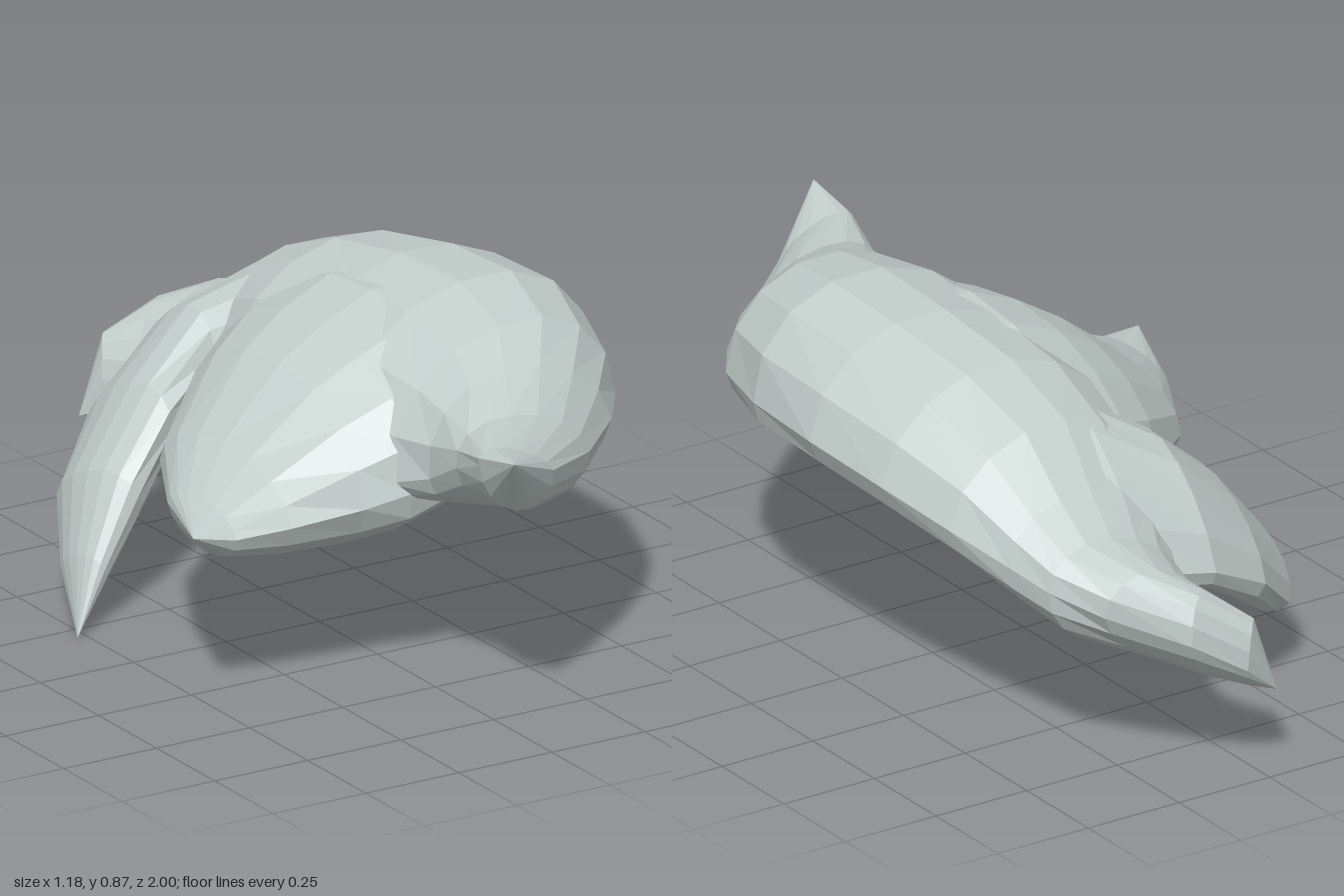
import * as THREE from 'three';

const SIDES = 16;

// One cross-section: four 3D points (edge, top, opposite edge, bottom) joined by quarter ellipses.
function section([left, top, right, bottom]) {
  const [l, t, r, b] = [left, top, right, bottom].map(p => new THREE.Vector3(...p));
  const mid = l.clone().add(r).multiplyScalar(0.5);
  return Array.from({ length: SIDES }, (_, i) => {
    const a = (i / SIDES) * Math.PI * 2, c = Math.cos(a), s = Math.sin(a);
    return mid.clone()
      .addScaledVector((c > 0 ? r : l).clone().sub(mid), Math.abs(c))
      .addScaledVector((s > 0 ? t : b).clone().sub(mid), Math.abs(s));
  });
}

// Cross-section lying at one depth.
const slice = (z, ...pts) => pts.map(([x, y]) => [x, y, z]);

// Skin cross-sections, closing the first with a fan (or a tip) and ending in a tip.
function loft(name, sections, endTip, material, startTip) {
  const rings = sections.map(section);
  const start = startTip ? new THREE.Vector3(...startTip)
    : rings[0].reduce((s, p) => s.add(p), new THREE.Vector3()).divideScalar(SIDES);
  const pts = [...rings.flat(), start, new THREE.Vector3(...endTip)];
  const first = pts.length - 2, last = pts.length - 1, base = (rings.length - 1) * SIDES;
  const index = [];
  for (let i = 0; i < SIDES; i++) {
    const j = (i + 1) % SIDES;
    index.push(first, j, i, last, base + i, base + j);
    for (let k = 0; k < base; k += SIDES) {
      index.push(k + i, k + j, k + SIDES + i, k + j, k + SIDES + j, k + SIDES + i);
    }
  }
  // Turn the faces outward
  let volume = 0;
  for (let i = 0; i < index.length; i += 3) {
    const [a, b, c] = [0, 1, 2].map(k => pts[index[i + k]].clone().sub(start));
    volume += a.dot(b.cross(c));
  }
  if (volume < 0) index.reverse();
  const geometry = new THREE.BufferGeometry().setFromPoints(pts);
  geometry.setIndex(index);
  const flat = geometry.toNonIndexed();
  flat.computeVertexNormals();
  const mesh = new THREE.Mesh(flat, material);
  mesh.name = name;
  return mesh;
}

export function createModel() {
  const group = new THREE.Group();
  group.name = 'hornedShell';
  const shell = new THREE.MeshStandardMaterial({ color: 0xc3cecb, flatShading: true });
  shell.name = 'paleGreyGreen';

  // Crescent body running from the front horn to the curled back horn, flatter underneath
  group.add(loft('crescentBody', [
    slice(0.85, [-0.1, 0.67], [-0.03, 0.7], [0.1, 0.62], [0, 0.54]),
    slice(0.7, [-0.07, 0.61], [0.08, 0.71], [0.29, 0.58], [0.12, 0.48]),
    slice(0.57, [-0.06, 0.54], [0.14, 0.77], [0.43, 0.59], [0.18, 0.455]),
    slice(0.45, [-0.1, 0.5], [0.2, 0.825], [0.515, 0.6], [0.22, 0.445]),
    slice(0.25, [-0.15, 0.5], [0.22, 0.865], [0.575, 0.615], [0.25, 0.44]),
    slice(0, [-0.1, 0.52], [0.22, 0.855], [0.59, 0.615], [0.25, 0.435]),
    slice(-0.25, [-0.08, 0.51], [0.2, 0.815], [0.56, 0.585], [0.24, 0.41]),
    slice(-0.45, [-0.05, 0.46], [0.19, 0.735], [0.51, 0.54], [0.24, 0.37]),
    slice(-0.6, [0, 0.43], [0.22, 0.62], [0.45, 0.49], [0.25, 0.33]),
    slice(-0.71, [0.05, 0.4], [0.24, 0.55], [0.41, 0.455], [0.25, 0.3]),
    [[0.05, 0.34, -0.79], [0.2, 0.51, -0.84], [0.34, 0.42, -0.83], [0.16, 0.265, -0.8]],
    [[0.03, 0.3, -0.84], [0.12, 0.465, -0.91], [0.19, 0.36, -0.965], [0.09, 0.235, -0.88]],
    [[-0.01, 0.25, -0.91], [0.02, 0.39, -0.965], [0.06, 0.28, -1], [0.01, 0.21, -0.94]],
  ], [-0.04, 0.2, -0.97], shell, [-0.1, 0.72, 1]));

  // Broad side horn sweeping forward, its root sunk into the body
  group.add(loft('sideHorn', [
    [[0.3, 0.6, 0.4], [0.3, 0.83, 0.1], [0.3, 0.58, -0.35], [0.3, 0.47, 0.12]],
    [[0.08, 0.52, 0.48], [0.08, 0.825, 0.1], [0.08, 0.55, -0.42], [0.08, 0.375, 0.14]],
    [[-0.06, 0.48, 0.495], [-0.05, 0.77, 0.1], [-0.07, 0.51, -0.36], [-0.05, 0.32, 0.11]],
    [[-0.17, 0.455, 0.47], [-0.17, 0.695, 0.1], [-0.18, 0.48, -0.28], [-0.16, 0.295, 0.09]],
    [[-0.35, 0.435, 0.44], [-0.35, 0.555, 0.15], [-0.36, 0.43, -0.11], [-0.34, 0.31, 0.17]],
    [[-0.49, 0.43, 0.425], [-0.48, 0.48, 0.26], [-0.49, 0.43, 0.13], [-0.48, 0.355, 0.28]],
  ], [-0.595, 0.45, 0.41], shell));

  // Long drooping horn that reaches the ground, flowing out of the back of the body
  group.add(loft('lowerHorn', [
    [[0.34, 0.55, -0.2], [0.32, 0.72, -0.38], [0.33, 0.47, -0.64], [0.3, 0.43, -0.45]],
    [[0.12, 0.53, -0.2], [0.12, 0.74, -0.37], [0.15, 0.43, -0.7], [0.15, 0.385, -0.48]],
    [[-0.07, 0.48, -0.35], [-0.06, 0.635, -0.47], [-0.05, 0.39, -0.71], [-0.05, 0.345, -0.54]],
    [[-0.21, 0.41, -0.3], [-0.23, 0.49, -0.44], [-0.22, 0.3, -0.66], [-0.17, 0.265, -0.5]],
    [[-0.33, 0.29, -0.25], [-0.38, 0.32, -0.39], [-0.36, 0.175, -0.55], [-0.28, 0.18, -0.41]],
    [[-0.44, 0.14, -0.22], [-0.465, 0.16, -0.3], [-0.45, 0.085, -0.39], [-0.4, 0.09, -0.31]],
  ], [-0.525, 0, -0.2], shell));

  return group;
}
